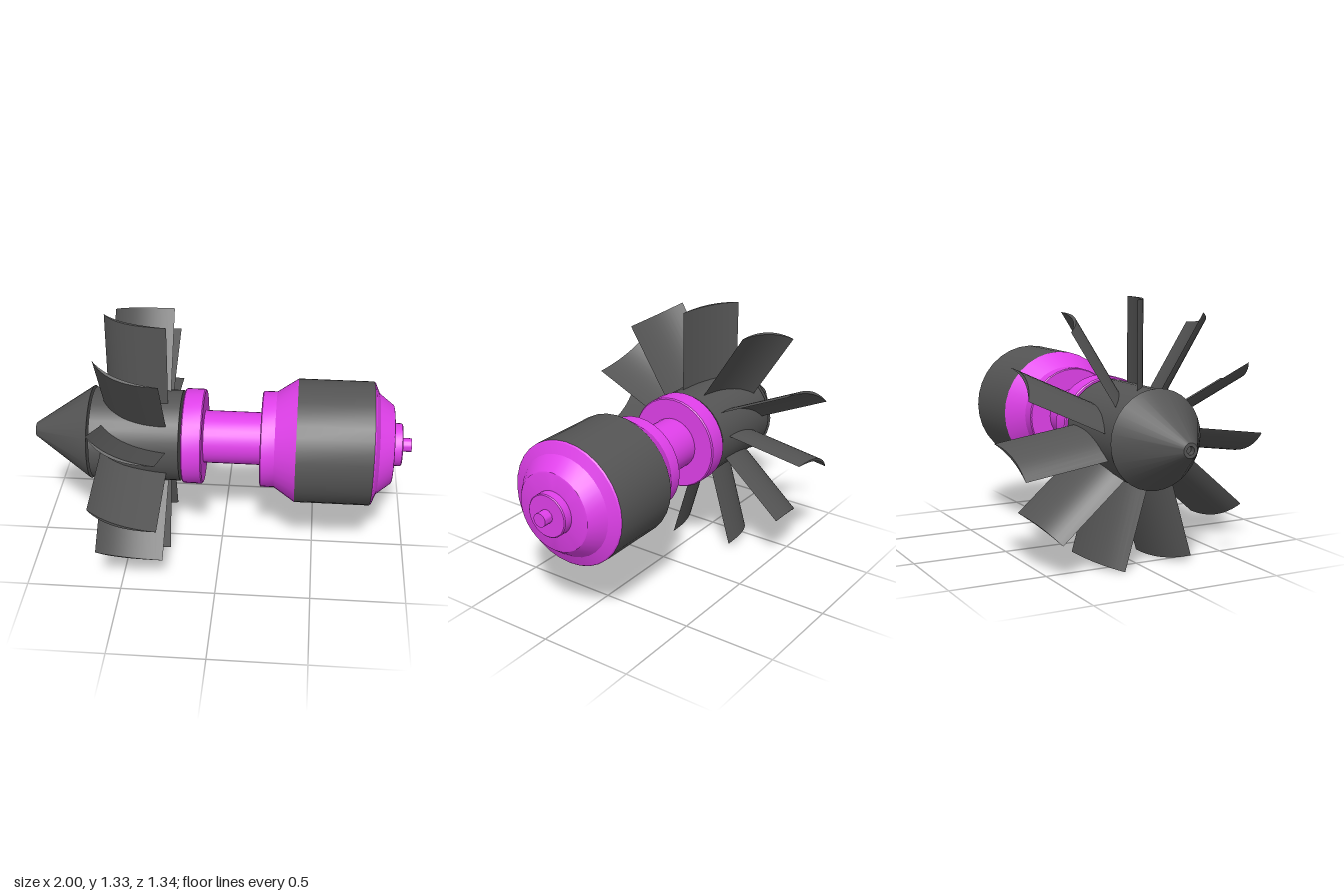
import * as THREE from 'three';
import { toCreasedNormals } from 'three/addons/utils/BufferGeometryUtils.js';

const AXIS_Y = 0.661;
const BLADES = 11;

export function createModel() {
  const model = new THREE.Group();
  const rotor = new THREE.Group();
  rotor.name = 'turbine';
  rotor.position.y = AXIS_Y;
  model.add(rotor);

  const dark = new THREE.MeshStandardMaterial({ color: 0x555555 });
  const magenta = new THREE.MeshStandardMaterial({ color: 0xe040ea });

  // Turned part: profile of [x along the axis, radius]
  function turned(name, profile, material) {
    const points = profile.map(([x, r]) => new THREE.Vector2(r, x));
    const lathe = new THREE.LatheGeometry(points, 32).rotateZ(-Math.PI / 2);
    const mesh = new THREE.Mesh(toCreasedNormals(lathe, 0.4), material);
    mesh.name = name;
    rotor.add(mesh);
  }

  // Nose cone with a small bore in its tip
  turned('noseCone', [[-0.97, 0], [-0.97, 0.02], [-1, 0.02], [-1, 0.037], [-0.69, 0.25], [-0.69, 0]], dark);
  turned('bladeHub', [[-0.68, 0], [-0.68, 0.242], [-0.212, 0.242], [-0.212, 0]], dark);

  // Shaft, flange, neck and shoulder
  turned('hubShaft', [[-0.213, 0], [-0.213, 0.036], [-0.19, 0.036]], magenta);
  turned('flange', [[-0.2, 0], [-0.2, 0.247], [-0.194, 0.253], [-0.098, 0.253], [-0.092, 0.247], [-0.092, 0]], magenta);
  turned('neck', [[-0.1, 0.14], [0.22, 0.14]], magenta);
  turned('shoulder', [[0.21, 0], [0.21, 0.25], [0.215, 0.255], [0.285, 0.255], [0.395, 0.328], [0.395, 0]], magenta);

  // Drum and stepped end cap
  turned('drum', [[0.395, 0], [0.395, 0.328], [0.79, 0.328], [0.79, 0]], dark);
  turned('endCap', [[0.79, 0], [0.79, 0.328], [0.797, 0.322], [0.82, 0.268], [0.897, 0.208], [0.9, 0.2], [0.9, 0]], magenta);
  turned('endBoss', [[0.895, 0.113], [0.944, 0.113], [0.949, 0.108], [0.949, 0]], magenta);
  turned('endPin', [[0.945, 0.036], [1, 0.036], [1, 0]], magenta);

  // Thin cambered blade section, extruded outwards from inside the hub
  const section = new THREE.Shape();
  section.moveTo(-0.613, 0.066);
  section.quadraticCurveTo(-0.51, -0.045, -0.277, -0.066);
  section.quadraticCurveTo(-0.53, -0.07, -0.613, 0.066);
  const extruded = new THREE.ExtrudeGeometry(section, { depth: 0.469, bevelEnabled: false, curveSegments: 12 });
  extruded.rotateX(-Math.PI / 2).translate(0, 0.2, 0);
  const bladeGeometry = toCreasedNormals(extruded, 0.5);

  for (let i = 0; i < BLADES; i++) {
    const blade = new THREE.Mesh(bladeGeometry, dark);
    blade.name = 'blade' + (i + 1);
    blade.rotation.x = (i / BLADES) * Math.PI * 2;
    rotor.add(blade);
  }

  return model;
}
